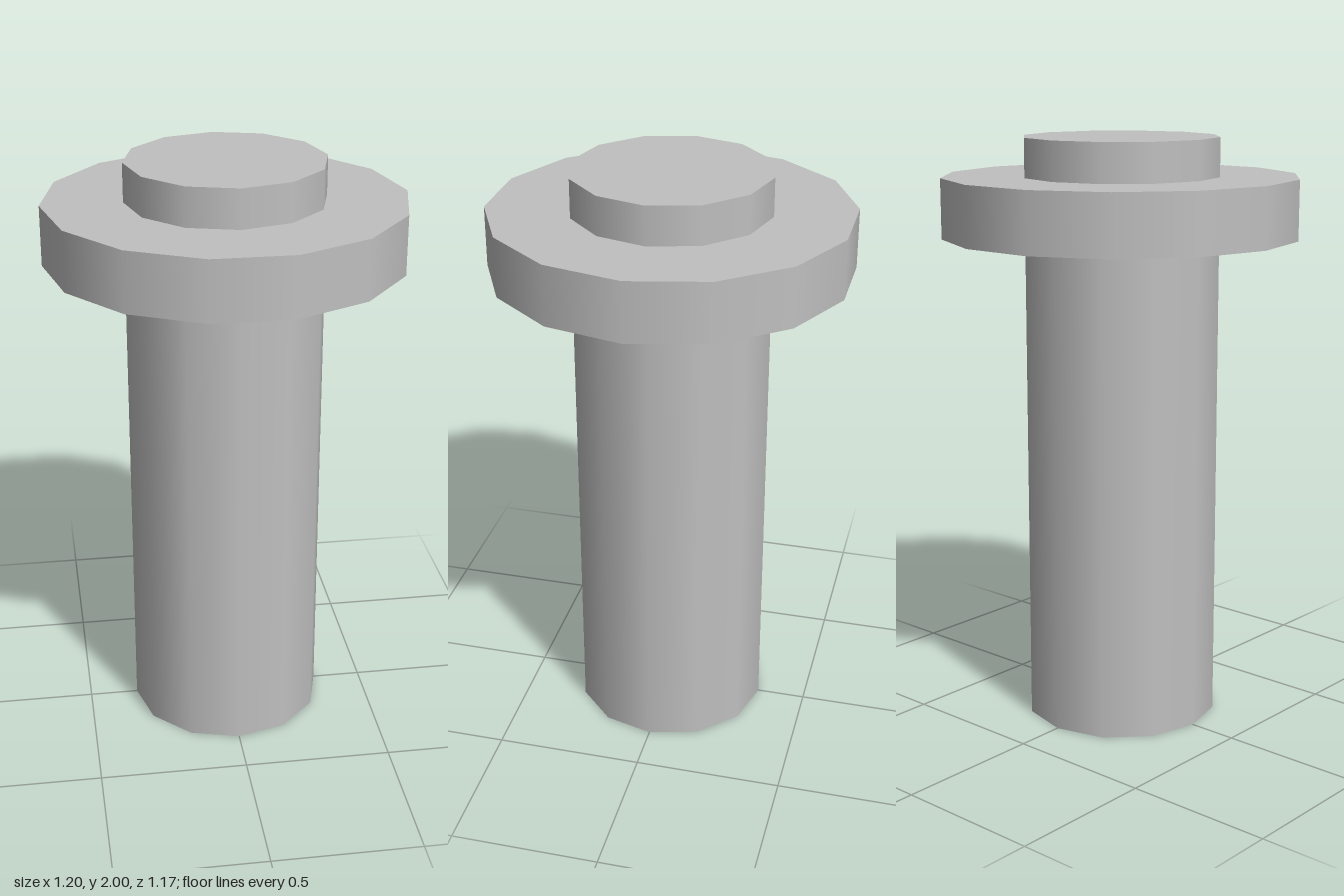
import * as THREE from 'three';

export function createModel() {
  const model = new THREE.Group();
  const grey = new THREE.MeshStandardMaterial({ color: 0xc0c0c0 });
  grey.name = 'plain grey';

  // Upright capped prism with a corner on the x axis
  function addPrism(name, radius, bottom, top, sides) {
    const geometry = new THREE.CylinderGeometry(
      radius, radius, top - bottom, sides, 1, false, Math.PI / 2);
    const mesh = new THREE.Mesh(geometry, grey);
    mesh.name = name;
    mesh.position.y = (bottom + top) / 2;
    model.add(mesh);
  }

  // Twelve-sided shaft, running through the collar
  addPrism('shaft', 0.332, 0, 2, 12);
  // Fourteen-sided collar near the top
  addPrism('collar', 0.6, 1.67, 1.87, 14);

  return model;
}
